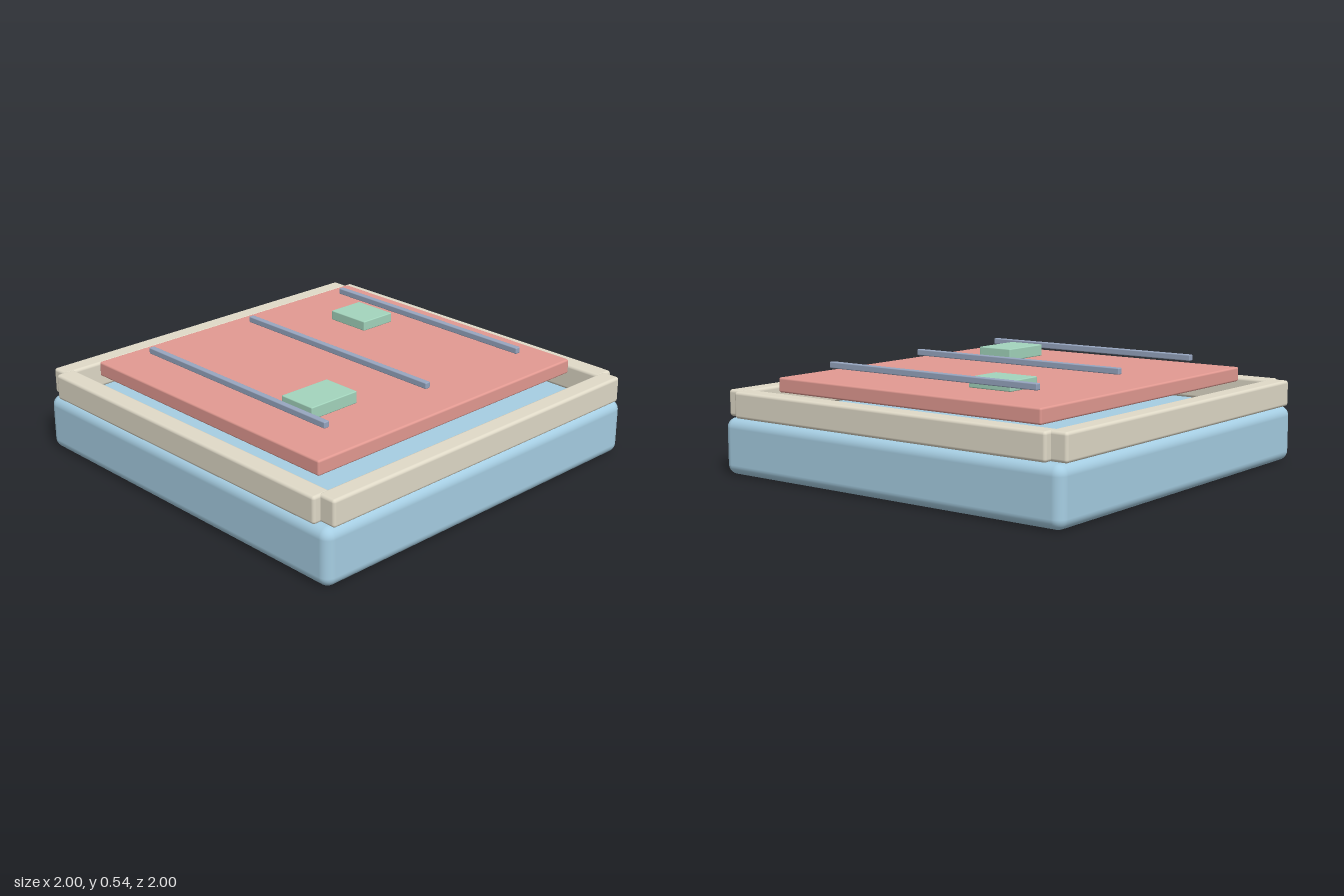
import * as THREE from 'three';
import { RoundedBoxGeometry } from 'three/addons/geometries/RoundedBoxGeometry.js';

const material = (color) => new THREE.MeshStandardMaterial({ color });

export function createModel() {
  const group = new THREE.Group();
  const blue = material(0xa6cee3);
  const cream = material(0xe0dac8);
  const red = material(0xe39a92);
  const green = material(0xa3d5bd);
  const slate = material(0x97a6c0);

  // Rounded block given by its min and max on each axis
  function block(name, mat, [x0, x1], [y0, y1], [z0, z1], radius, segments = 2) {
    const geometry = new RoundedBoxGeometry(x1 - x0, y1 - y0, z1 - z0, segments, radius);
    const mesh = new THREE.Mesh(geometry, mat);
    mesh.position.set((x0 + x1) / 2, (y0 + y1) / 2, (z0 + z1) / 2);
    mesh.name = name;
    group.add(mesh);
  }

  // Base slab
  block('base', blue, [-1, 1], [0, 0.278], [-1, 1], 0.05, 5);

  // Rim: long front and back rails, slightly shorter side rails
  const rimY = [0.28, 0.41];
  block('frontRail', cream, [-0.96, 0.96], rimY, [0.9, 1], 0.015, 3);
  block('backRail', cream, [-0.96, 0.96], rimY, [-1, -0.9], 0.015, 3);
  block('leftRail', cream, [0.9, 1], rimY, [-0.92, 0.92], 0.015, 3);
  block('rightRail', cream, [-1, -0.9], rimY, [-0.92, 0.92], 0.015, 3);

  // Raised panel
  block('panel', red, [-0.84, 0.84], [0.4, 0.473], [-0.78, 0.78], 0.01);

  // Pads on the panel
  block('frontPad', green, [-0.58, -0.3], [0.478, 0.538], [0.26, 0.46], 0.005);
  block('backPad', green, [0.38, 0.58], [0.478, 0.528], [-0.42, -0.18], 0.005);

  // Thin bars running front to back above the panel
  for (const [name, x] of [['rightBar', -0.64], ['middleBar', 0], ['leftBar', 0.64]]) {
    block(name, slate, [x - 0.015, x + 0.015], [0.511, 0.542], [-0.62, 0.62], 0.005);
  }

  return group;
}
